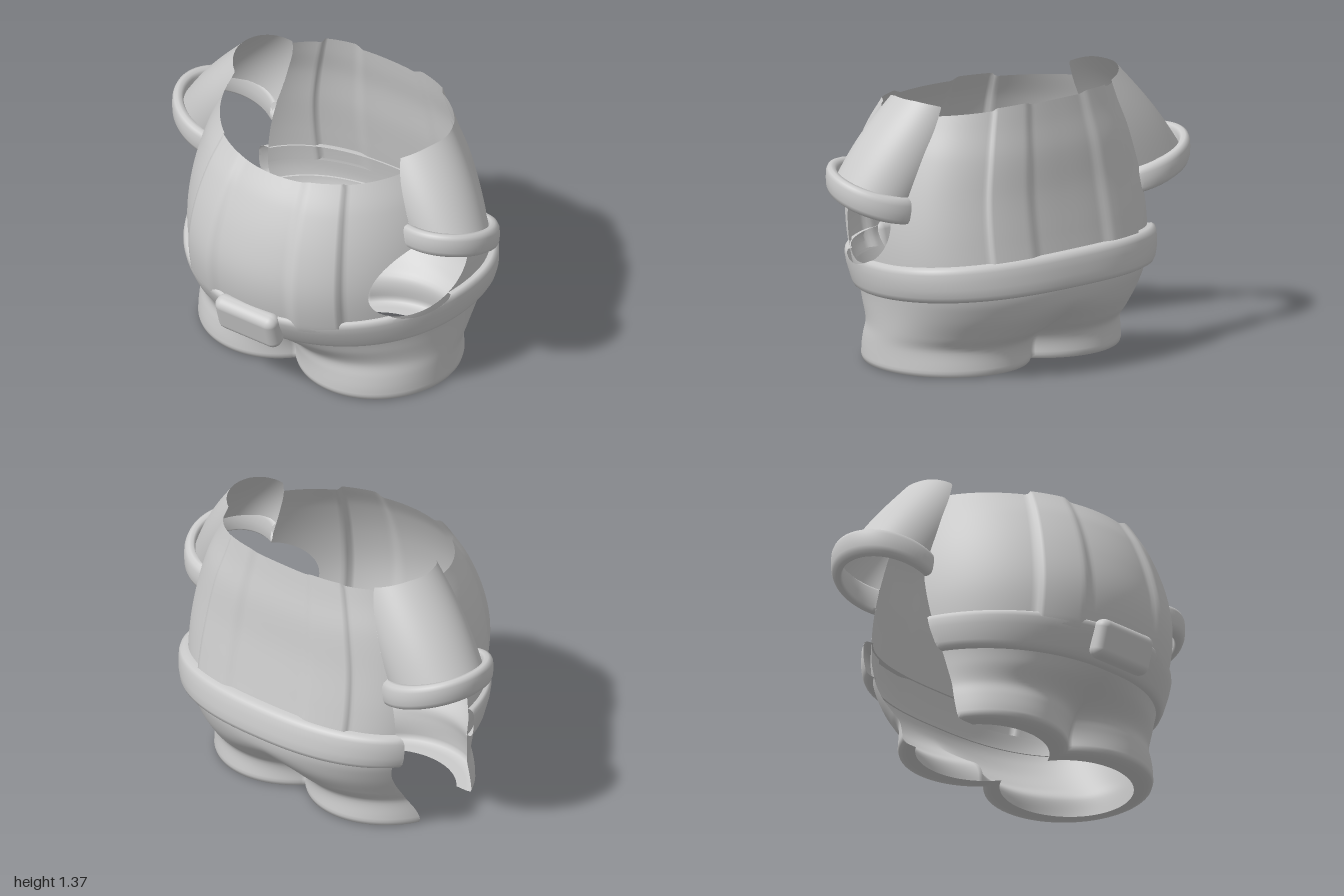
import * as THREE from 'three';
import { mergeVertices } from 'three/addons/utils/BufferGeometryUtils.js';
import { RoundedBoxGeometry } from 'three/addons/geometries/RoundedBoxGeometry.js';

const material = new THREE.MeshStandardMaterial({ color: 0xcccccc, side: THREE.DoubleSide });
const CX = 0.028; // middle plane of the garment
const { lerp, smoothstep, clamp } = THREE.MathUtils;

// Body sections: height, half width, front z, back z, z of the widest line
const SECTIONS = [
  [0, 0.695, 0.40, -0.455, -0.03], [0.13, 0.695, 0.40, -0.455, -0.04],
  [0.2, 0.70, 0.415, -0.53, -0.07], [0.3, 0.71, 0.515, -0.615, -0.1],
  [0.4, 0.725, 0.585, -0.65, -0.13], [0.5, 0.745, 0.635, -0.645, -0.15],
  [0.7, 0.75, 0.66, -0.61, -0.15], [0.9, 0.725, 0.625, -0.575, -0.14],
  [1.1, 0.67, 0.545, -0.55, -0.13], [1.25, 0.605, 0.45, -0.52, -0.12],
  [1.4, 0.54, 0.36, -0.495, -0.12],
];

// Smooth section at height y; n is the squareness of the back half
function section(y) {
  const S = SECTIONS, last = S.length - 1;
  let i = 0;
  while (i < last - 1 && y > S[i + 1][0]) i++;
  const h = S[i + 1][0] - S[i][0];
  const t = clamp((y - S[i][0]) / h, 0, 1);
  const slope = (k, c) => {
    const a = S[Math.max(k - 1, 0)], b = S[Math.min(k + 1, last)];
    return (b[c] - a[c]) / (b[0] - a[0]);
  };
  const [hx, zf, zb, cz] = [1, 2, 3, 4].map((c) => {
    const a = S[i][c], b = S[i + 1][c], t2 = t * t, t3 = t2 * t;
    return (2 * t3 - 3 * t2 + 1) * a + (t3 - 2 * t2 + t) * h * slope(i, c)
      + (3 * t2 - 2 * t3) * b + (t3 - t2) * h * slope(i + 1, c);
  });
  return { hx, cz, front: zf - cz, back: cz - zb, n: 2 + 0.4 * smoothstep(y, 0.15, 0.4) };
}
const norm = (u, v, n) => (Math.abs(u) ** n + Math.abs(v) ** n) ** (1 / n);

// Point on the body at angle a and height y, scaled by rho and pushed out
function bodyPoint(a, y, rho = 1, out = 0) {
  const s = section(y), u = Math.cos(a), v = Math.sin(a);
  const k = rho / norm(u, v, v < 0 ? s.n : 2);
  return new THREE.Vector3(
    CX + u * (s.hx * k + out), y, s.cz + v * ((v < 0 ? s.back : s.front) * k + out));
}

// Positive outside the body
function outsideBody(p) {
  const s = section(p.y), z = p.z - s.cz;
  return norm((p.x - CX) / s.hx, z / (z < 0 ? s.back : s.front), z < 0 ? s.n : 2) - 1;
}

// Radius of two overlapping round lobes, as a share of the plain ellipse
function lobes(a, c, r) {
  const x = Math.abs(Math.cos(a)), z = Math.sin(a);
  const A = (x * x) / (r * r) + z * z, B = (x * c) / (r * r), C = (c * c) / (r * r) - 1;
  return (B + Math.sqrt(B * B - A * C)) / A;
}

// Surface over a grid, trimmed where keep(point) is negative
function surface(name, cols, rows, point, keep) {
  const grid = [];
  for (let j = 0; j <= rows; j++) {
    for (let i = 0; i < cols; i++) {
      const p = point((i / cols) * Math.PI * 2, j / rows, j);
      grid.push({ p, k: keep(p) });
    }
  }
  const pos = [];
  const addTriangle = (tri) => {
    const poly = [];
    tri.forEach((a, n) => {
      const b = tri[(n + 1) % 3];
      if (a.k >= 0) poly.push(a.p);
      if ((a.k >= 0) !== (b.k >= 0)) poly.push(a.p.clone().lerp(b.p, a.k / (a.k - b.k)));
    });
    for (let n = 2; n < poly.length; n++) {
      for (const q of [poly[0], poly[n - 1], poly[n]]) pos.push(q.x, q.y, q.z);
    }
  };
  for (let j = 0; j < rows; j++) {
    for (let i = 0; i < cols; i++) {
      const n = (i + 1) % cols;
      const a = grid[j * cols + i], b = grid[j * cols + n];
      const c = grid[(j + 1) * cols + n], d = grid[(j + 1) * cols + i];
      addTriangle([a, d, c]);
      addTriangle([a, c, b]);
    }
  }
  let geometry = new THREE.BufferGeometry();
  geometry.setAttribute('position', new THREE.Float32BufferAttribute(pos, 3));
  geometry = mergeVertices(geometry, 1e-5);
  geometry.computeVertexNormals();
  const mesh = new THREE.Mesh(geometry, material);
  mesh.name = name;
  return mesh;
}

// Sleeves: cuff centre, shoulder centre, radii and slope of the cuff
const SLEEVES = {
  left: { lo: [0.75, 0.91, -0.005], hi: [0.46, 1.38, -0.1], r: [0.205, 0.19], sx: 0.12, sz: 0.28 },
  right: { lo: [-0.73, 0.86, -0.22], hi: [-0.41, 1.38, -0.16], r: [0.23, 0.19], sx: -0.3, sz: 0 },
};
const sleeveRadius = (s, t) => lerp(s.r[0], s.r[1], t) + 0.02 * Math.sin(Math.PI * t);

function sleevePoint(s, a, t, out = 0, dy = 0) {
  const r = sleeveRadius(s, t) + out;
  const x = r * Math.cos(a), z = r * Math.sin(a);
  return new THREE.Vector3(
    lerp(s.lo[0], s.hi[0], t) + x,
    lerp(s.lo[1], s.hi[1], t) + (1 - t) * (s.sx * x + s.sz * z) + dy,
    lerp(s.lo[2], s.hi[2], t) + z);
}

// Positive inside a sleeve
function insideSleeve(s, p) {
  let t = 0, x, z, base;
  for (let n = 0; n < 12; n++) {
    x = p.x - lerp(s.lo[0], s.hi[0], t);
    z = p.z - lerp(s.lo[2], s.hi[2], t);
    base = s.lo[1] + s.sx * x + s.sz * z;
    t = lerp(t, clamp((p.y - base) / (s.hi[1] - base), 0, 1), 0.7);
  }
  return Math.min(sleeveRadius(s, t) - Math.hypot(x, z), p.y - base + 0.06);
}

// Sleeves stop at the body and at a neckline falling towards the middle
function keepSleeve(p) {
  const fall = clamp(0.35 + 0.5 * (p.z + 0.15), 0.3, 0.5);
  const neck = 1.37 - fall * Math.max(0, 0.62 - Math.abs(p.x - CX));
  return Math.min(outsideBody(p), neck - p.y);
}

// Openings: round one under the left sleeve, full-height slot under the right
function keepBody(p) {
  const hz = (p.z - 0.14) / 0.27, hy = (p.y - 0.71 + 0.15 * (p.z - 0.14)) / 0.195;
  const round = Math.min(0.25 * (1 - Math.hypot(hz, hy)), p.x - 0.3);
  const slotFront = 0.16 - 0.2 * p.y, slotBack = -0.22 - 0.2 * smoothstep(p.y, 0, 0.4);
  const slot = Math.min(slotFront - p.z, p.z - slotBack, 0.88 - p.y, -0.42 - p.x);
  return -Math.max(round, slot, insideSleeve(SLEEVES.left, p), insideSleeve(SLEEVES.right, p));
}

const beltY = (a) => 0.477 - 0.047 * Math.sin(a);

// Raised vertical bands: soft inner edge, sharp outer edge
function band(a) {
  const c = Math.abs(Math.cos(a));
  return smoothstep(c, 0.26, 0.34) * (1 - smoothstep(c, 0.575, 0.6));
}

export function createModel() {
  const group = new THREE.Group();

  // Tunic from the belt to the slanted neck rim
  group.add(surface('tunic', 288, 40, (a, t) => {
    const b = band(a);
    const rim = 1.28 - 0.06 * Math.sin(a) + 0.015 * b;
    return bodyPoint(a, lerp(beltY(a), rim, t), 1 + 0.035 * b);
  }, keepBody));

  // Hips flowing into two joined trouser legs, with a turned-in hem
  const rows = 40, hem = 6;
  group.add(surface('trousers', 240, rows, (a, t, j) => {
    if (j <= rows - hem) {
      const y = lerp(beltY(a), 0.025, j / (rows - hem));
      const blend = 1 - smoothstep(y, 0.05, 0.37);
      return bodyPoint(a, y, lerp(1, lobes(a, 0.42, 0.58), blend));
    }
    const u = (j - rows + hem) / hem;
    const outer = bodyPoint(a, 0, lobes(a, 0.42, 0.58));
    const k = lobes(a, 0.465, 0.535);
    const inner = new THREE.Vector3(
      CX + Math.cos(a) * 0.625 * k, 0, -0.035 + Math.sin(a) * 0.318 * k);
    outer.lerp(inner, u < 0.2 ? 0.07 : u);
    outer.y = u < 0.2 ? 0.006 : 0;
    return outer;
  }, keepBody));

  // Tilted belt
  const beltProfile = [[-0.2, 0.09], [0.5, 0.088], [0.85, 0.078], [1, 0.058], [1.03, 0.02],
    [1.03, -0.02], [1, -0.058], [0.85, -0.078], [0.5, -0.088], [-0.2, -0.09]];
  group.add(surface('belt', 200, beltProfile.length - 1, (a, t, j) => {
    const [out, dy] = beltProfile[j];
    return bodyPoint(a, beltY(a) + dy, 1, out * (0.038 - 0.012 * Math.sin(a)));
  }, keepBody));

  // Buckle
  const buckle = new THREE.Mesh(new RoundedBoxGeometry(0.36, 0.2, 0.1, 5, 0.045), material);
  buckle.name = 'buckle';
  buckle.position.set(0.02, 0.437, 0.635);
  buckle.rotation.x = 0.27;
  group.add(buckle);

  // Sleeves and their rounded cuffs
  const cuffProfile = [[0, 0.065], [0.02, 0.065], [0.035, 0.055], [0.043, 0.035], [0.045, 0],
    [0.043, -0.035], [0.035, -0.055], [0.02, -0.065], [0, -0.065], [-0.01, -0.05],
    [-0.012, 0], [-0.01, 0.05], [0, 0.065]];
  for (const [side, s] of Object.entries(SLEEVES)) {
    group.add(surface(`${side}Sleeve`, 96, 30, (a, t) => sleevePoint(s, a, t), keepSleeve));
    group.add(surface(`${side}Cuff`, 96, cuffProfile.length - 1, (a, t, j) =>
      sleevePoint(s, a, 0, cuffProfile[j][0], cuffProfile[j][1]), keepSleeve));
  }
  return group;
}
